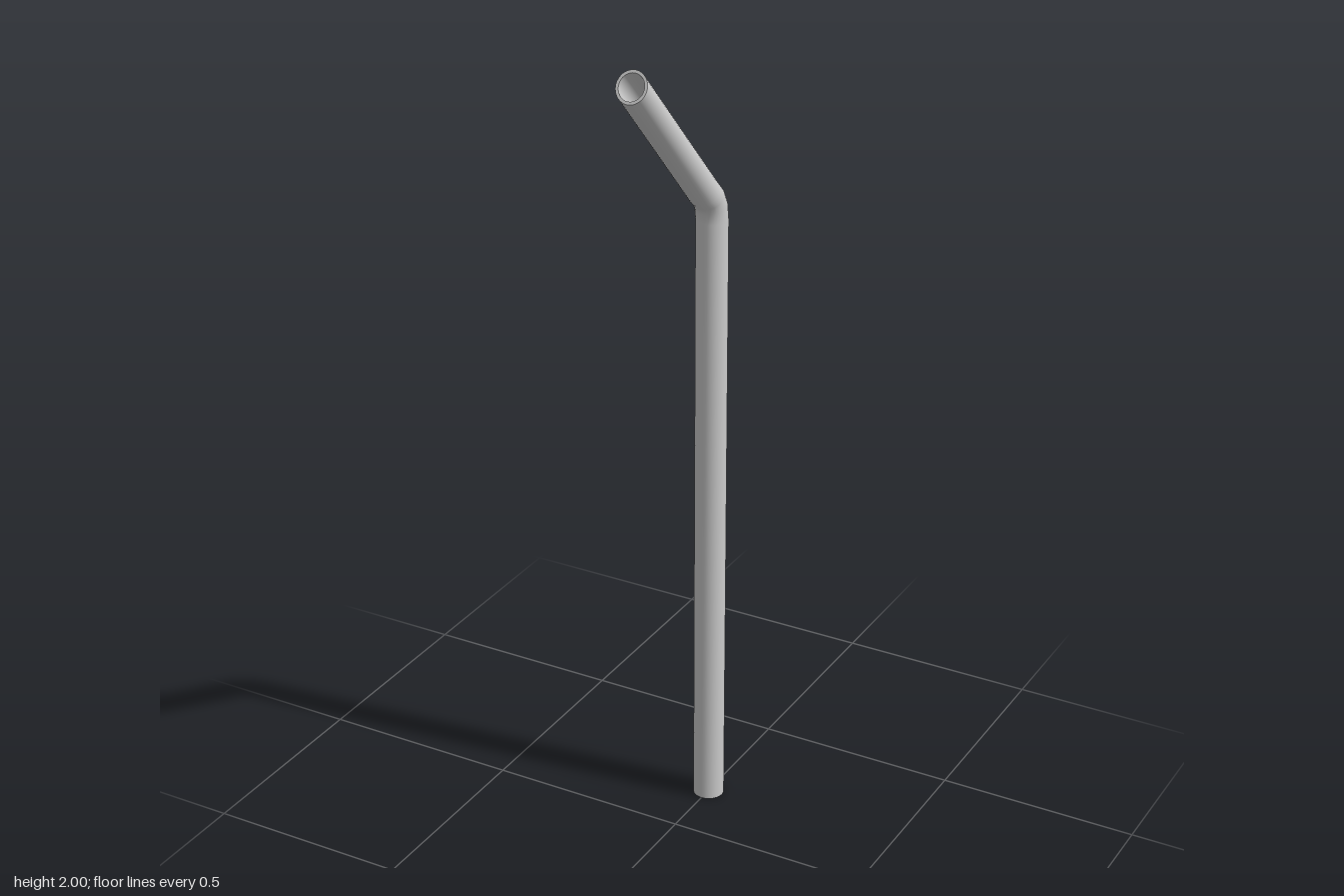
import * as THREE from 'three';

const OUTER = 0.038, INNER = 0.031, SIDES = 32;

// Centreline stations: height, depth and forward tilt (degrees) of each ring
const stations = [
  { y: 0, z: -0.172, tilt: 0 },
  { y: 1.54, z: -0.172, tilt: 0 },
  { y: 1.575, z: -0.167, tilt: 15 },
  { y: 1.6, z: -0.153, tilt: 30 },
  { y: 1.62, z: -0.132, tilt: 43 },
  { y: 1.967, z: 0.191, tilt: 61 },
];

// Skin of the bent tube; inward = true turns the faces to the bore
function tubeSkin(radius, inward) {
  const positions = [], index = [];
  for (const { y, z, tilt } of stations) {
    const t = THREE.MathUtils.degToRad(tilt);
    for (let i = 0; i < SIDES; i++) {
      const a = (i / SIDES) * Math.PI * 2;
      const side = radius * Math.sin(a), fore = radius * Math.cos(a);
      positions.push(side, y - fore * Math.sin(t), z + fore * Math.cos(t));
    }
  }
  for (let r = 0; r < stations.length - 1; r++) {
    for (let i = 0; i < SIDES; i++) {
      const j = (i + 1) % SIDES;
      const a = r * SIDES + i, b = r * SIDES + j, c = a + SIDES, d = b + SIDES;
      if (inward) index.push(a, d, b, a, c, d);
      else index.push(a, b, d, a, d, c);
    }
  }
  const geometry = new THREE.BufferGeometry();
  geometry.setAttribute('position', new THREE.Float32BufferAttribute(positions, 3));
  geometry.setIndex(index);
  geometry.computeVertexNormals();
  return geometry;
}

export function createModel() {
  const group = new THREE.Group();
  group.name = 'bentStraw';
  const material = new THREE.MeshStandardMaterial({ color: 0xcccccc });

  const add = (name, geometry) => {
    const mesh = new THREE.Mesh(geometry, material);
    mesh.name = name;
    group.add(mesh);
    return mesh;
  };

  add('outerWall', tubeSkin(OUTER, false));
  add('innerWall', tubeSkin(INNER, true));

  // Rim around the open mouth
  const mouth = stations[stations.length - 1];
  const rim = add('mouthRim', new THREE.RingGeometry(INNER, OUTER, SIDES));
  rim.position.set(0, mouth.y, mouth.z);
  rim.rotation.x = THREE.MathUtils.degToRad(mouth.tilt - 90);

  // Closed foot
  const foot = add('footCap', new THREE.CircleGeometry(OUTER, SIDES));
  foot.position.set(0, 0, stations[0].z);
  foot.rotation.x = Math.PI / 2;

  return group;
}
